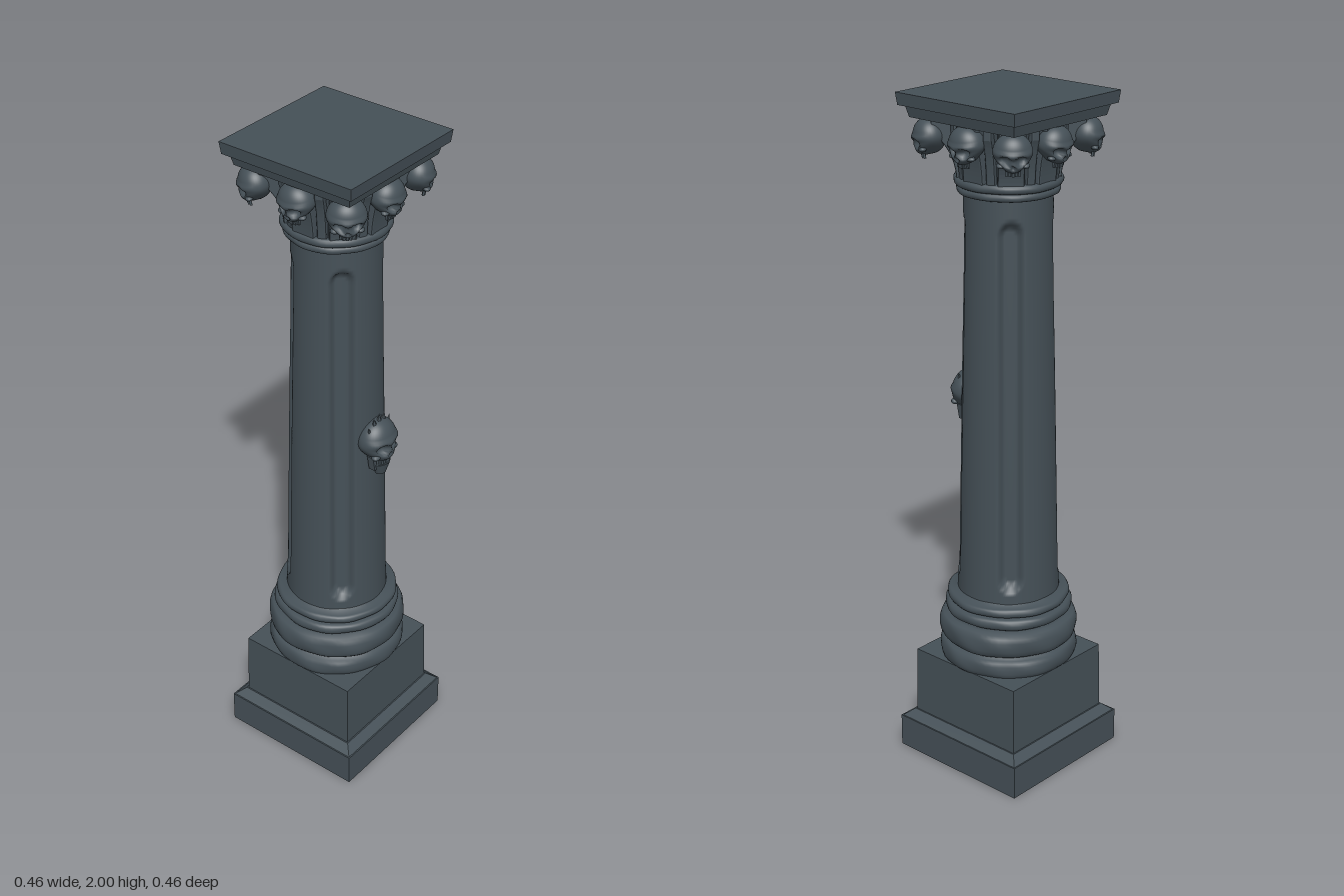
import * as THREE from 'three';
import { mergeVertices } from 'three/addons/utils/BufferGeometryUtils.js';

const stone = new THREE.MeshStandardMaterial({ color: 0x455057 });
stone.name = 'slate stone';

const clamp = THREE.MathUtils.clamp;
const smooth = THREE.MathUtils.smoothstep;

function add(parent, name, geometry) {
  const mesh = new THREE.Mesh(geometry, stone);
  mesh.name = name;
  parent.add(mesh);
  return mesh;
}

// Moves every vertex by a rule, then welds the seam and smooths the normals
function deform(geometry, rule) {
  const p = geometry.attributes.position;
  const v = new THREE.Vector3();
  for (let i = 0; i < p.count; i++) {
    rule(v.fromBufferAttribute(p, i));
    p.setXYZ(i, v.x, v.y, v.z);
  }
  geometry.deleteAttribute('uv');
  geometry.deleteAttribute('normal');
  const welded = mergeVertices(geometry, 1e-5);
  welded.computeVertexNormals();
  return welded;
}

// Square slab whose half-width runs from a (at y0) to b (at y1)
function slab(parent, name, y0, y1, a, b) {
  const g = new THREE.CylinderGeometry(b * Math.SQRT2, a * Math.SQRT2, y1 - y0, 4);
  g.rotateY(Math.PI / 4);
  g.translate(0, (y0 + y1) / 2, 0);
  const flat = g.toNonIndexed();
  flat.computeVertexNormals();
  return add(parent, name, flat);
}

// Turned moulding with a slightly worn surface
function moulding(parent, name, points) {
  const g = new THREE.LatheGeometry(points.map(([r, y]) => new THREE.Vector2(r, y)), 64);
  return add(parent, name, deform(g, (v) => {
    const a = Math.atan2(v.z, v.x);
    const wear = 1 + 0.008 * Math.sin(5 * a + v.y * 40) + 0.005 * Math.sin(11 * a - v.y * 70);
    v.x *= wear;
    v.z *= wear;
  }));
}

// Half-round bulge between two heights, as profile points
function bulge(y0, y1, inner, outer) {
  const pts = [];
  for (let i = 0; i <= 8; i++) {
    const t = (i / 8) * Math.PI;
    pts.push([inner + (outer - inner) * Math.sin(t) ** 0.6, (y0 + y1) / 2 - Math.cos(t) * (y1 - y0) / 2]);
  }
  return pts;
}

// Skull of unit half-width facing +z, with sunken eyes and nose
function skull(withJaw) {
  const group = new THREE.Group();
  const dents = [
    [0.4, -0.2, 0.3, 0.34], [-0.4, -0.2, 0.3, 0.34],
    [0, -0.56, 0.15, 0.22],
  ];
  add(group, 'cranium', deform(new THREE.SphereGeometry(1, 40, 30), (v) => {
    const { x, y, z } = v;
    const low = smooth(-y, 0, 0.9);
    if (z > 0) {
      for (const [dx, dy, r, depth] of dents) {
        v.z -= depth * (1 - smooth(Math.hypot(x - dx, y - dy), r * 0.5, r * 1.15));
      }
      v.z += 0.3 * low + 0.1 * (1 - smooth(Math.abs(y - 0.1), 0.05, 0.2));
    }
    v.x *= 1 - 0.25 * low;
  }));
  for (const s of [-1, 1]) {
    const cheek = add(group, 'cheekbone', new THREE.SphereGeometry(0.24, 12, 8));
    cheek.scale.set(1, 0.6, 1);
    cheek.position.set(0.6 * s, -0.55, 0.55);
  }
  // Upper teeth
  for (let i = -2; i <= 2; i++) {
    const tooth = add(group, 'tooth', new THREE.BoxGeometry(0.13, 0.28, 0.14));
    tooth.position.set(i * 0.16, -0.98, 0.66 - 0.03 * i * i);
  }
  if (withJaw) {
    const jaw = add(group, 'jaw', new THREE.CylinderGeometry(0.5, 0.28, 0.6, 16));
    jaw.position.set(0, -1.4, 0.3);
    for (const s of [-1, 1]) {
      const hinge = add(group, 'jawHinge', new THREE.BoxGeometry(0.18, 0.75, 0.4));
      hinge.position.set(0.5 * s, -1.0, 0.2);
      hinge.rotation.z = -0.2 * s;
    }
    // Jagged crest over the brow
    for (let i = -2; i <= 2; i++) {
      const spike = add(group, 'crestSpike', new THREE.ConeGeometry(0.2, 0.55, 5));
      spike.position.set(i * 0.33, 1.05 - 0.1 * i * i, 0.15);
      spike.rotation.z = -0.15 * i;
    }
  }
  return group;
}

// Leaf bracket: a side profile curling out to the given reach
function leaf(reach, width) {
  const s = new THREE.Shape();
  s.moveTo(0.08, 1.77);
  s.lineTo(0.138, 1.77);
  s.quadraticCurveTo(0.142, 1.85, reach, 1.9);
  s.lineTo(reach, 1.935);
  s.lineTo(0.08, 1.935);
  s.closePath();
  const g = new THREE.ExtrudeGeometry(s, {
    depth: width, bevelEnabled: true, bevelSize: 0.004, bevelThickness: 0.006, bevelSegments: 2,
  });
  g.translate(0, 0, -width / 2);
  g.rotateY(-Math.PI / 2);
  return g;
}

export function createModel() {
  const column = new THREE.Group();
  column.name = 'column';

  // Square pedestal
  slab(column, 'footSlab', 0, 0.1, 0.23, 0.23);
  slab(column, 'footChamfer', 0.1, 0.122, 0.226, 0.2);
  slab(column, 'plinth', 0.122, 0.325, 0.196, 0.193);

  // Stacked base rings
  moulding(column, 'baseRings', [
    [0.05, 0.32],
    ...bulge(0.32, 0.38, 0.18, 0.203),
    ...bulge(0.388, 0.462, 0.178, 0.204),
    ...bulge(0.47, 0.505, 0.165, 0.187),
    ...bulge(0.507, 0.535, 0.16, 0.18),
    [0.145, 0.545],
  ]);

  // Tapered shaft with four round-ended flutes on the diagonals
  const y0 = 0.52, y1 = 1.75;
  const shaft = new THREE.CylinderGeometry(1, 1, y1 - y0, 160, 110, true);
  shaft.translate(0, (y0 + y1) / 2, 0);
  add(column, 'shaft', deform(shaft, (v) => {
    const r = THREE.MathUtils.lerp(0.15, 0.123, (v.y - y0) / (y1 - y0));
    const a = Math.atan2(v.z, v.x);
    const quarter = Math.PI / 2;
    const off = (a - Math.floor(a / quarter) * quarter - quarter / 2) * r;
    const end = v.y - clamp(v.y, 0.615, 1.63);
    const depth = 0.022 * (1 - smooth(Math.hypot(off, end), 0.022, 0.038));
    v.x *= r - depth;
    v.z *= r - depth;
  }));

  // Skull mounted on the shaft front
  const emblem = skull(true);
  emblem.name = 'frontSkull';
  emblem.scale.set(0.064, 0.064, 0.052);
  emblem.position.set(0, 1.118, 0.142);
  column.add(emblem);

  // Neck ring and bell of the capital
  moulding(column, 'neckRing', [
    [0.12, 1.725],
    ...bulge(1.728, 1.75, 0.128, 0.143),
    ...bulge(1.75, 1.776, 0.132, 0.151),
    [0.125, 1.78],
  ]);
  moulding(column, 'capitalBell', [
    [0.128, 1.77], [0.13, 1.81], [0.137, 1.86], [0.152, 1.91], [0.165, 1.936], [0.05, 1.936],
  ]);

  // Skulls on leaf brackets: four on the sides, four at the corners
  const capital = new THREE.Group();
  capital.name = 'capitalOrnament';
  column.add(capital);
  for (let i = 0; i < 8; i++) {
    const angle = (i * Math.PI) / 4;
    const corner = i % 2 === 1;
    const bay = new THREE.Group();
    bay.name = corner ? 'cornerBay' : 'sideBay';
    bay.rotation.y = angle;
    add(bay, 'leaf', leaf(corner ? 0.205 : 0.165, 0.06));
    const head = skull(false);
    head.name = 'capitalSkull';
    head.scale.set(0.053, 0.05, 0.046);
    head.position.set(0, 1.883, corner ? 0.212 : 0.163);
    head.rotation.x = 0.2;
    bay.add(head);
    const rib = add(bay, 'rib', leaf(0.163, 0.014));
    rib.rotation.y = Math.PI / 8;
    capital.add(bay);
  }

  // Square top slab
  slab(column, 'abacusLower', 1.932, 1.965, 0.188, 0.196);
  slab(column, 'abacusUpper', 1.965, 2, 0.21, 0.214);

  return column;
}
